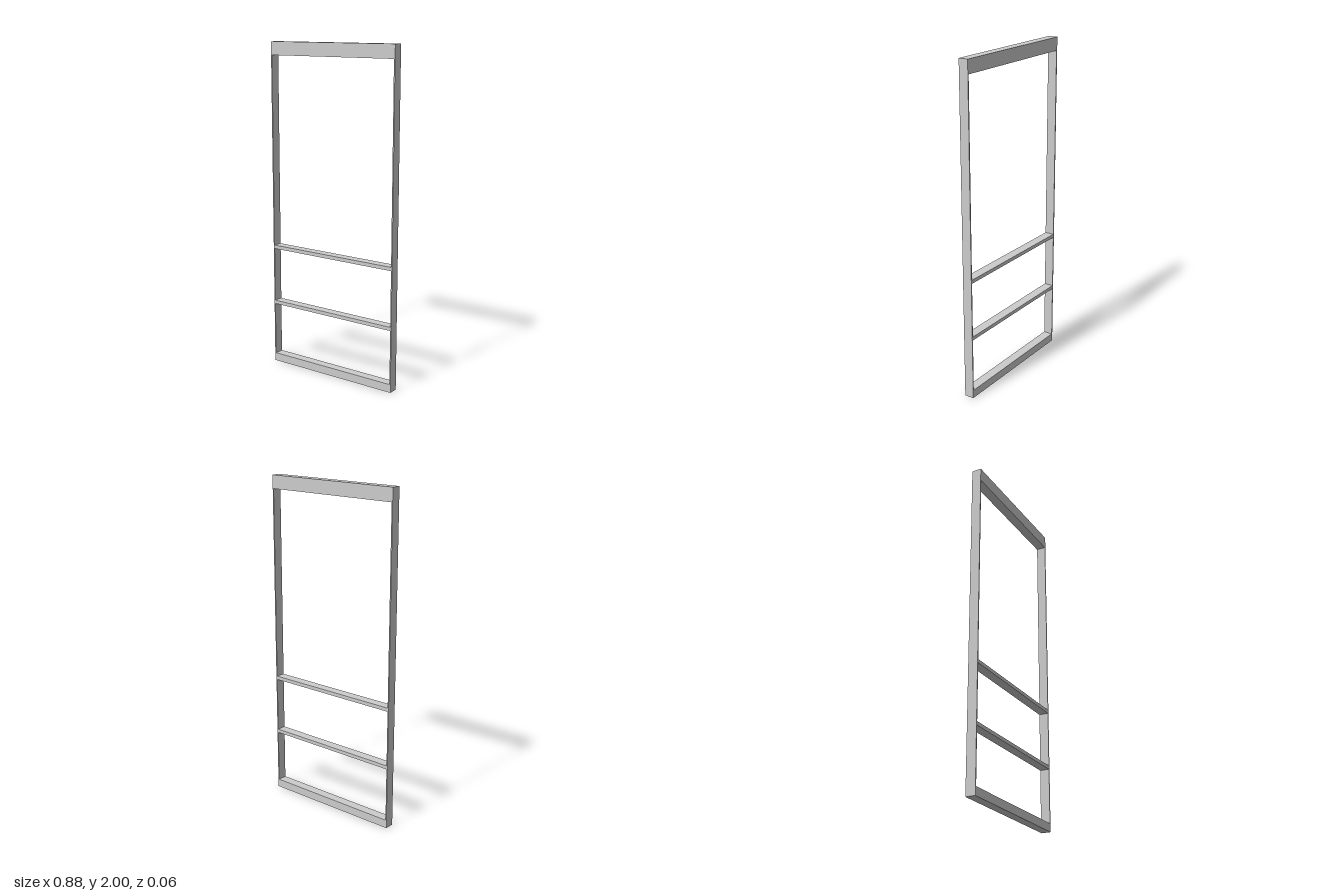
import * as THREE from 'three';

const WIDTH = 0.875, HEIGHT = 2, DEPTH = 0.058, WALL = 0.007;

export function createModel() {
  const group = new THREE.Group();
  const material = new THREE.MeshStandardMaterial({ color: 0xcccccc });

  const addBox = (name, w, h, x, bottom) => {
    const mesh = new THREE.Mesh(new THREE.BoxGeometry(w, h, DEPTH), material);
    mesh.name = name;
    mesh.position.set(x, bottom + h / 2, 0);
    group.add(mesh);
  };

  // Thin upright side strips
  for (const [name, side] of [['leftStile', 1], ['rightStile', -1]]) {
    addBox(name, WALL, HEIGHT, side * (WIDTH - WALL) / 2, 0);
  }

  // Horizontal rails fitted between the stiles: name, bottom, height
  const rails = [
    ['bottomRail', 0, 0.05],
    ['lowerCrossbar', 0.378, 0.022],
    ['upperCrossbar', 0.735, 0.022],
    ['topRail', 1.92, 0.08],
  ];
  for (const [name, bottom, h] of rails) addBox(name, WIDTH - 2 * WALL, h, 0, bottom);

  return group;
}
